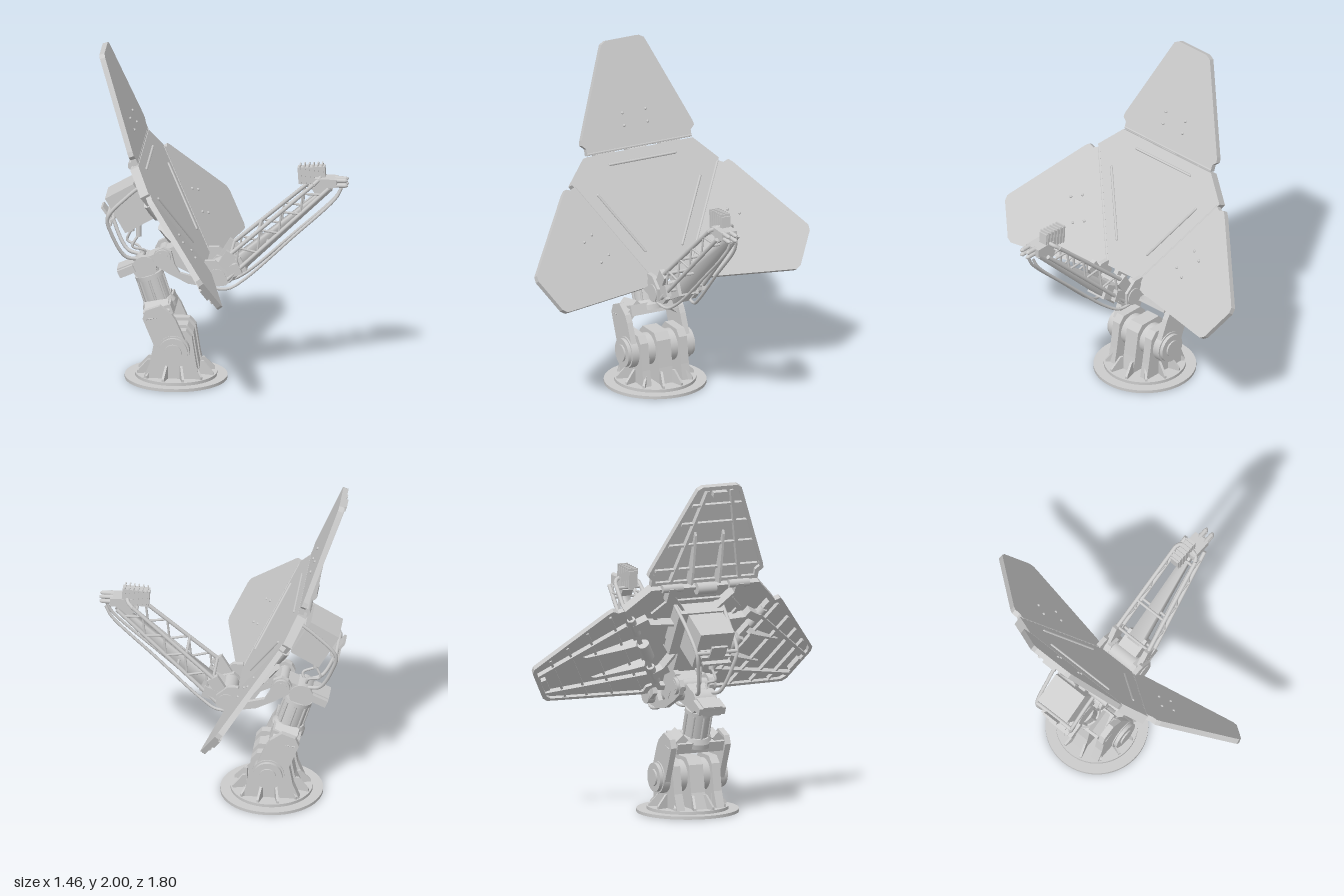
import * as THREE from 'three';

const V = (x, y, z = 0) => new THREE.Vector3(x, y, z);
const mat = new THREE.MeshStandardMaterial({ color: 0xcccccc, side: THREE.DoubleSide });

export function createModel() {
  const root = new THREE.Group();
  root.name = 'trackingAntenna';
  let parent = root;
  const group = (name, to = root) => {
    const g = new THREE.Group();
    g.name = name;
    to.add(g);
    return (parent = g);
  };
  const add = (name, geo, p = V(0, 0), r = [0, 0, 0]) => {
    const m = new THREE.Mesh(geo, mat);
    m.name = name;
    m.position.copy(p);
    m.rotation.set(...r);
    parent.add(m);
    return m;
  };
  const box = (name, x, y, z, w, h, d, rz = 0) => add(name, new THREE.BoxGeometry(w, h, d), V(x, y, z), [0, 0, rz]);
  // solid running from point a to point b
  const between = (name, a, b, geo) => {
    const m = add(name, geo, a.clone().add(b).multiplyScalar(0.5));
    m.quaternion.setFromUnitVectors(V(0, 1), b.clone().sub(a).normalize());
    return m;
  };
  const bar = (name, a, b, w, d) => between(name, a, b, new THREE.BoxGeometry(w, a.distanceTo(b), d));
  const rod = (name, a, b, r, r2 = r, n = 20) => between(name, a, b, new THREE.CylinderGeometry(r2, r, a.distanceTo(b), n));
  const tube = (name, pts, r, n = 32) =>
    add(name, new THREE.TubeGeometry(new THREE.CatmullRomCurve3(pts, false, 'centripetal'), n, r, 8));
  // drum along z
  const drum = (name, x, y, z, r, w, n = 32) => add(name, new THREE.CylinderGeometry(r, r, w, n), V(x, y, z), [Math.PI / 2, 0, 0]);
  const shapeOf = pts => new THREE.Shape(pts.map(p => new THREE.Vector2(...p)));
  // flat plate in xy, occupying z0 .. z0 + depth
  const plate = (name, shape, z0, depth) =>
    add(name, new THREE.ExtrudeGeometry(shape, { depth, bevelEnabled: false, curveSegments: 16 }), V(0, 0, z0));
  const rim = (pts, cx, cy, k) => {
    const s = shapeOf(pts);
    s.holes.push(new THREE.Path(pts.map(([x, y]) => new THREE.Vector2(cx + (x - cx) * k, cy + (y - cy) * k))));
    return s;
  };
  const mirrorX = pts => [...pts, ...pts.map(([x, y]) => [-x, y]).reverse()];
  const sides = [-1, 1];

  // Base plate with gussets
  group('base');
  const bx = -0.28;
  rod('basePlate', V(bx, 0), V(bx, 0.018), 0.3, 0.3, 64);
  rod('baseRing', V(bx, 0.018), V(bx, 0.036), 0.24, 0.24, 48);
  for (let i = 0; i < 12; i++) {
    const a = (i + 0.5) * Math.PI / 6;
    const p = V(bx + 0.2 * Math.cos(a), 0.036, 0.2 * Math.sin(a));
    const g = new THREE.ExtrudeGeometry(shapeOf([[0, 0], [0.03, 0], [0.03, 0.015], [-0.03, 0.08], [-0.05, 0.08], [-0.05, 0]]),
      { depth: 0.014, bevelEnabled: false });
    add('gusset', g.translate(0, 0, -0.007), p, [0, -a, 0]);
  }
  // Pedestal lugs holding the elevation drum
  const lug = shapeOf([[-0.46, 0.03], [-0.13, 0.03], [-0.15, 0.13], [-0.175, 0.29], [-0.21, 0.33], [-0.35, 0.33], [-0.39, 0.29], [-0.42, 0.13]]);
  sides.forEach(s => plate('pedestalLug', lug, s * 0.128 - 0.026, 0.052));
  plate('pedestalCore', lug, -0.045, 0.09);
  drum('elevationDrum', bx, 0.215, 0, 0.095, 0.4);

  // Tilted yoke
  group('yoke');
  const yokeArm = shapeOf([[-0.37, 0.19], [-0.34, 0.145], [-0.28, 0.125], [-0.22, 0.145], [-0.19, 0.2], [-0.2, 0.25],
    [-0.265, 0.4], [-0.29, 0.44], [-0.36, 0.49], [-0.44, 0.46], [-0.46, 0.41], [-0.44, 0.36]]);
  sides.forEach(s => {
    plate('yokeArm', yokeArm, s * 0.175 - 0.018, 0.036);
    drum('bearingCap', bx, 0.215, s * 0.205, 0.085, 0.03);
    drum('bearingHub', bx, 0.215, s * 0.22, 0.05, 0.02);
    bar('yokeShoulder', V(-0.365, 0.4, s * 0.175), V(-0.385, 0.48, s * 0.09), 0.14, 0.05);
  });
  bar('yokeBridge', V(-0.36, 0.4), V(-0.382, 0.46), 0.17, 0.3);
  // Azimuth column, stacked along the tilted axis
  const axis = t => V(-0.37 - 0.31 * t, 0.42 + 0.95 * t);
  [[0, 0.03, 0.1, 0.1], [0.03, 0.06, 0.1, 0.085], [0.06, 0.2, 0.075, 0.075], [0.2, 0.225, 0.085, 0.085], [0.225, 0.28, 0.065, 0.06]]
    .forEach(([a, b, r, r2]) => rod('azimuthColumn', axis(a), axis(b), r, r2, 28));
  for (let i = 0; i < 8; i++) {
    const a = i * Math.PI / 4;
    const o = V(0.95 * Math.cos(a), 0.31 * Math.cos(a), Math.sin(a)).multiplyScalar(0.078);
    rod('columnRib', axis(0.06).add(o), axis(0.2).add(o), 0.008, 0.008, 6);
  }

  // Head: cross beam, trunnion and cradle
  group('head');
  drum('elbow', -0.46, 0.68, 0, 0.07, 0.14);
  bar('headBeam', V(-0.61, 0.64), V(-0.21, 0.815), 0.06, 0.12);
  bar('counterBlock', V(-0.61, 0.64), V(-0.52, 0.68), 0.045, 0.17);
  drum('trunnion', -0.35, 0.76, 0, 0.035, 0.26);
  const cradle = shapeOf([[-0.41, 0.76], [-0.39, 0.8], [-0.35, 0.82], [-0.3, 0.8], [-0.28, 0.72], [-0.25, 0.67], [-0.12, 0.635],
    [-0.05, 0.72], [0.02, 0.7], [0.06, 0.64], [0.02, 0.6], [-0.08, 0.585], [-0.2, 0.605], [-0.31, 0.66], [-0.39, 0.71]]);
  sides.forEach(s => {
    plate('cradleArm', cradle, s * 0.095 - 0.014, 0.028);
    drum('trunnionCap', -0.35, 0.76, s * 0.118, 0.05, 0.02);
    bar('dishStrut', V(-0.26, 0.84, s * 0.07), V(-0.14, 0.66, s * 0.07), 0.09, 0.03);
    plate('clevis', shapeOf([[-0.13, 0.68], [-0.1, 0.76], [-0.04, 0.76], [0.03, 0.7], [0.03, 0.63], [-0.04, 0.61]]), s * 0.135 - 0.014, 0.028);
  });
  drum('boomPivot', -0.03, 0.66, 0, 0.052, 0.31);

  // Dish: flat centre with three wings folded forward
  const dish = group('dish');
  dish.matrixAutoUpdate = false;
  const tilt = 29.5 * Math.PI / 180, c = Math.cos(tilt), n = Math.sin(tilt);
  dish.matrix.makeBasis(V(0, 0, -1), V(-n, c), V(c, n)).setPosition(-0.33, 1.146, 0);
  dish.matrix.decompose(dish.position, dish.quaternion, dish.scale);
  const hex = mirrorX([[0.125, -0.48], [0.485, 0.14], [0.35, 0.285]]);
  plate('centrePanel', shapeOf(hex), -0.014, 0.014);
  plate('centreRim', rim(hex, 0, 0, 0.93), -0.055, 0.042);
  plate('centreInnerFrame', rim(hex, 0, 0, 0.9).clone(), -0.03, 0.018).scale.set(0.6, 0.6, 1);
  box('backHub', 0, -0.02, -0.06, 0.3, 0.3, 0.09);
  box('backSpine', 0, -0.28, -0.055, 0.17, 0.36, 0.08);
  const wingPts = mirrorX([[0.345, 0.004], [0.345, 0.045], [0.372, 0.07], [0.365, 0.1], [0.155, 0.595], [0.14, 0.628], [0.11, 0.645]]);
  [[0, 0.287], [2 * Math.PI / 3, 0.335], [-2 * Math.PI / 3, 0.335]].forEach(([a, d]) => {
    const sector = group('dishSector', dish);
    sector.rotation.z = a;
    add('faceRib', new THREE.CapsuleGeometry(0.008, 0.43, 4, 8), V(0, d - 0.07, 0.002), [0, 0, Math.PI / 2]);
    sides.forEach(s => {
      bar('radialRib', V(s * 0.05, 0.05, -0.045), V(s * 0.24, d, -0.045), 0.016, 0.06);
      rod('hingeBarrel', V(s * 0.15, d, -0.05), V(s * 0.28, d, -0.05), 0.024);
      box('hingeLug', s * 0.215, d - 0.04, -0.05, 0.05, 0.1, 0.05);
    });
    rod('hingeMotor', V(-0.06, d - 0.01, -0.06), V(0.06, d - 0.01, -0.06), 0.035);
    const wing = group('wing', sector);
    wing.position.y = d;
    wing.rotation.x = 0.17;
    plate('wingPanel', shapeOf(wingPts), -0.012, 0.012);
    plate('wingRim', rim(wingPts, 0, 0.3, 0.93), -0.032, 0.022);
    rod('hingeFlare', V(-0.345, 0.012, -0.007), V(0.345, 0.012, -0.007), 0.009, 0.009, 12);
    sides.forEach(s => {
      bar('wingSpar', V(s * 0.22, 0.03, -0.025), V(s * 0.075, 0.62, -0.025), 0.018, 0.034);
      // tapered gusset standing off the back
      const g = new THREE.ExtrudeGeometry(shapeOf([[0, 0], [0.07, 0.02], [0.06, 0.1], [0.02, 0.32], [0, 0.34]]), { depth: 0.014, bevelEnabled: false });
      add('wingGusset', g, V(s * 0.09 + 0.007, 0, -0.01), [0, Math.PI / 2, 0]);
      for (const t of [0.14, 0.215])
        add('bolt', new THREE.SphereGeometry(0.009, 10, 6), V(s * 0.077, t, 0.001));
    });
    [[0.1, 0.66], [0.26, 0.54], [0.4, 0.42], [0.52, 0.32]].forEach(([t, w]) => box('wingCrossRib', 0, t, -0.021, w, 0.014, 0.024));
    box('tipClip', 0, 0.6, -0.035, 0.09, 0.03, 0.03);
  });

  // Equipment box on the back, with guard tubes and cables
  group('equipment');
  const rz = 0.52;
  box('equipmentBox', -0.545, 1.055, 0, 0.19, 0.24, 0.22, rz);
  for (let i = -2; i < 3; i++)
    box('coolingFin', -0.625 + i * 0.02, 1.01 + i * 0.036, 0, 0.03, 0.012, 0.18, rz);
  bar('boxMount', V(-0.52, 1.06), V(-0.36, 1.08), 0.14, 0.14);
  sides.forEach(s => {
    tube('guardTube', [V(-0.42, 1.25, s * 0.15), V(-0.55, 1.14, s * 0.14), V(-0.67, 1.0, s * 0.13), V(-0.65, 0.9, s * 0.11),
      V(-0.57, 0.75, s * 0.07), V(-0.5, 0.73, s * 0.05)], 0.011);
    rod('cablePlug', V(-0.52 + s * 0.025, 0.94, s * 0.05), V(-0.52 + s * 0.025, 0.87, s * 0.05), 0.016);
    tube('cable', [V(-0.52 + s * 0.025, 0.88, s * 0.05), V(-0.55 + s * 0.02, 0.81, s * 0.06), V(-0.48 + s * 0.02, 0.78, s * 0.04), V(-0.48, 0.72, s * 0.02)], 0.008);
  });
  rod('guardCrossbar', V(-0.67, 1.0, -0.13), V(-0.67, 1.0, 0.13), 0.012);
  bar('guardPad', V(-0.71, 1.04), V(-0.66, 0.97), 0.015, 0.1);

  // Feed boom: arched rails, zigzag lattice and a central spar
  group('feedBoom');
  const up = (t, s) => V(0.03 + 0.5 * t, 0.78 + 0.44 * t, s * (0.12 - 0.045 * t));
  const low = (t, s) => V(0.08 + 0.5 * t, 0.69 + 0.47 * t, s * (0.12 - 0.045 * t));
  sides.forEach(s => {
    rod('upperRail', up(0, s), up(1, s), 0.012, 0.012, 10);
    rod('lowerRail', low(-0.1, s), low(1.08, s), 0.012, 0.012, 10);
    bar('boomFoot', V(-0.03, 0.66, s * 0.115), up(0.05, s), 0.07, 0.03);
    bar('boomFoot', V(-0.03, 0.66, s * 0.115), low(0.05, s), 0.07, 0.03);
    for (let i = 0; i < 8; i++) {
      const [f, g] = i % 2 ? [up, low] : [low, up];
      rod('lattice', f(i / 8, s), g((i + 1) / 8, s), 0.007, 0.007, 6);
    }
    tube('underTube', [V(-0.17, 0.62, s * 0.1), V(-0.08, 0.585, s * 0.1), V(0.03, 0.575, s * 0.09), V(0.12, 0.625, s * 0.07),
      V(0.4, 0.88, s * 0.04), V(0.66, 1.13, s * 0.025), V(0.69, 1.19, s * 0.02)], 0.009, 40);
  });
  tube('railArch', [up(1, -1), V(0.555, 1.24, -0.055), V(0.565, 1.25, 0), V(0.555, 1.24, 0.055), up(1, 1)], 0.012);
  [0.04, 0.36, 0.95].forEach(t => {
    rod('crossbar', up(t, -1), up(t, 1), 0.009, 0.009, 8);
    rod('crossbar', low(t, -1), low(t, 1), 0.009, 0.009, 8);
  });
  // tapered central spar
  const spar = new THREE.CylinderGeometry(0.025, 0.07, 0.83, 4, 1).rotateY(Math.PI / 4);
  between('centralSpar', V(0, 0.63), V(0.63, 1.19), spar);
  bar('sparRoot', V(-0.04, 0.64), V(0.12, 0.72), 0.09, 0.13);

  // Feed head with prongs
  group('feedHead');
  box('feedBox', 0.515, 1.26, -0.005, 0.16, 0.1, 0.055, 0.07);
  for (let i = 0; i < 6; i++) box('feedFin', 0.45 + i * 0.026, 1.262 + i * 0.002, -0.005, 0.008, 0.114, 0.065, 0.07);
  box('feedBody', 0.6, 1.225, 0.012, 0.13, 0.05, 0.1, -0.02);
  for (const z of [0, 0.045]) for (const y of [1.21, 1.24]) {
    rod('feedProng', V(0.65, y, z), V(0.715, y, z), 0.013, 0.013, 12);
    rod('prongTip', V(0.715, y, z), V(0.73, y, z), 0.013, 0.005, 12);
  }
  bar('feedBracket', V(0.53, 1.16), V(0.62, 1.22), 0.05, 0.07);
  return root;
}
